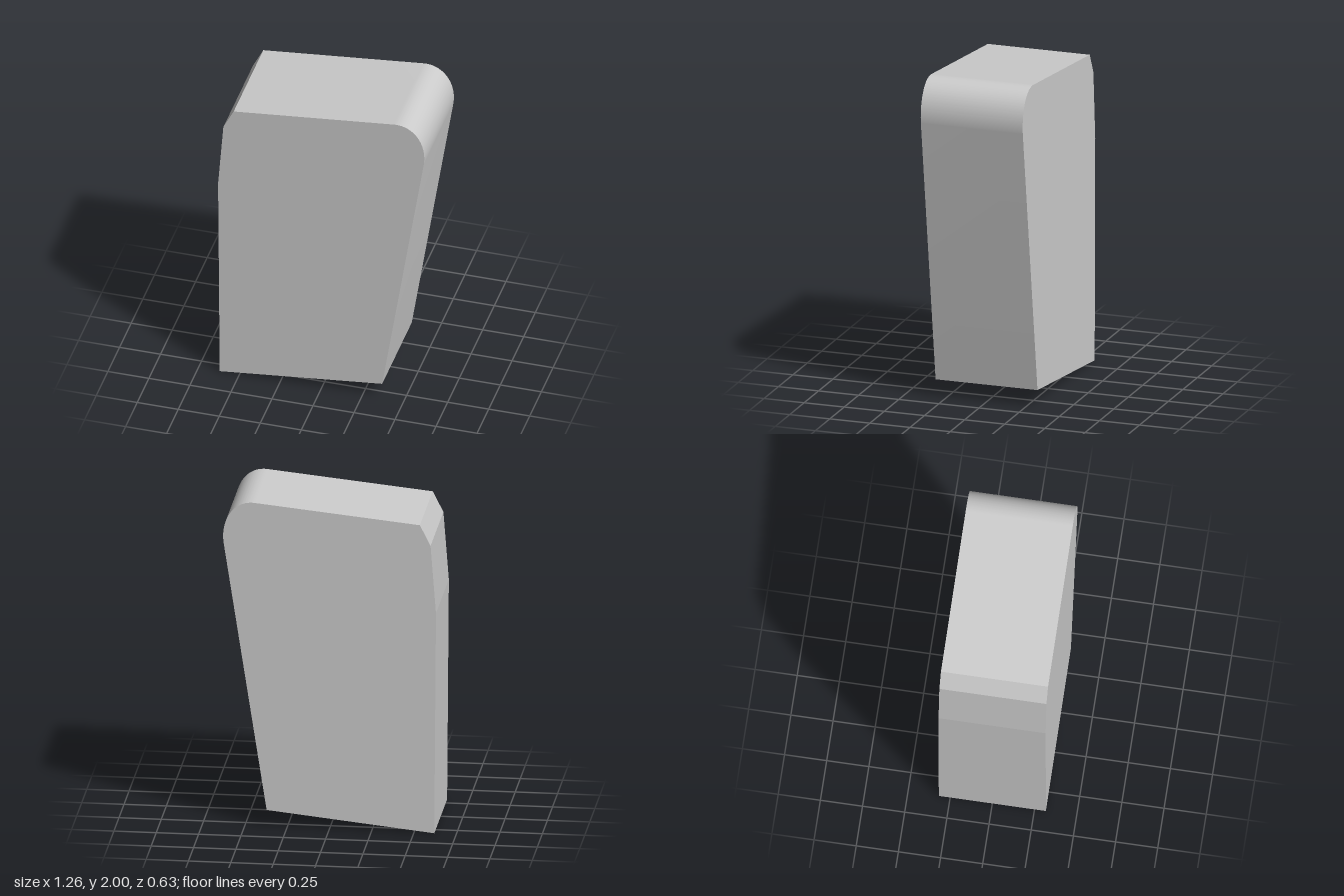
import * as THREE from 'three';
import { toCreasedNormals } from 'three/addons/utils/BufferGeometryUtils.js';

const DEPTH = 0.635;

export function createModel() {
  const group = new THREE.Group();
  group.name = 'taperedBlock';

  // Side profile, counter-clockwise from the lowest corner
  const profile = new THREE.Shape();
  profile.moveTo(-0.62, 0);
  profile.lineTo(0.37, 0.105);
  profile.lineTo(0.623, 1.74);
  // rounded upper corner
  profile.bezierCurveTo(0.646, 1.894, 0.56, 2.012, 0.44, 1.999);
  profile.lineTo(-0.535, 1.9);
  // chamfered corner and slightly bent edge
  profile.lineTo(-0.598, 1.775);
  profile.lineTo(-0.63, 1.36);
  profile.closePath();

  const extruded = new THREE.ExtrudeGeometry(profile, {
    depth: DEPTH,
    bevelEnabled: false,
    curveSegments: 48,
  });
  extruded.translate(0, 0, -DEPTH / 2);

  // Smooth only along the rounded corner
  const body = new THREE.Mesh(
    toCreasedNormals(extruded, 0.06),
    new THREE.MeshStandardMaterial({ color: 0xcccccc })
  );
  body.name = 'body';
  group.add(body);
  return group;
}
